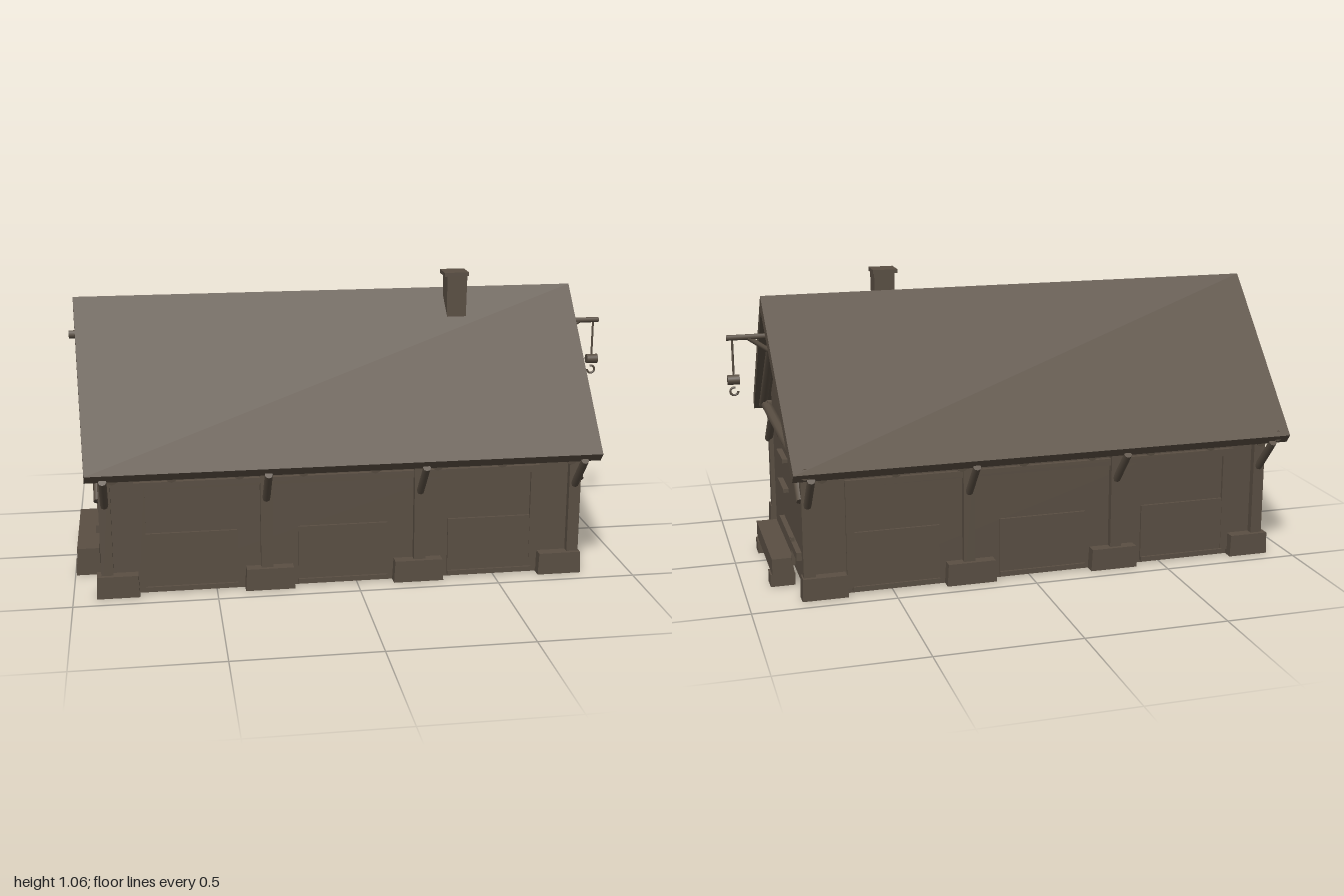
import * as THREE from 'three';

export function createModel() {
  const model = new THREE.Group();
  model.name = 'barn';
  const wood = new THREE.MeshStandardMaterial({ color: 0x5a4f43, side: THREE.DoubleSide });
  wood.name = 'dark weathered wood';

  const add = (name, geometry, parent = model) => {
    const mesh = new THREE.Mesh(geometry, wood);
    mesh.name = name;
    parent.add(mesh);
    return mesh;
  };
  // Box given by its lower and upper limits
  const box = (name, x0, x1, y0, y1, z0, z1) => {
    const mesh = add(name, new THREE.BoxGeometry(x1 - x0, y1 - y0, Math.abs(z1 - z0)));
    mesh.position.set((x0 + x1) / 2, (y0 + y1) / 2, (z0 + z1) / 2);
    return mesh;
  };
  // Round or square timber between two points
  const beam = (name, a, b, r, sides = 8) => {
    const p = new THREE.Vector3(...a), q = new THREE.Vector3(...b);
    const dir = q.clone().sub(p);
    const mesh = add(name, new THREE.CylinderGeometry(r, r, dir.length(), sides));
    mesh.position.copy(p).add(q).multiplyScalar(0.5);
    mesh.quaternion.setFromUnitVectors(new THREE.Vector3(0, 1, 0), dir.normalize());
    return mesh;
  };
  // Outline in the z-y plane, extruded along x
  const profile = (points, x0, x1) => {
    const shape = new THREE.Shape(points.map(([z, y]) => new THREE.Vector2(-z, y)));
    const g = new THREE.ExtrudeGeometry(shape, { depth: x1 - x0, bevelEnabled: false });
    return g.rotateY(Math.PI / 2).translate(x0, 0, 0);
  };

  // Roof: chevron section, ends raked so that the ridge is longer than the eaves
  const roof = profile([[0, 0.985], [0.545, 0.48], [0.517, 0.449], [0, 0.928], [-0.517, 0.449], [-0.545, 0.48]], -0.97, 0.87);
  const pos = roof.attributes.position;
  for (let i = 0; i < pos.count; i++) {
    const t = Math.abs(pos.getZ(i)) / 0.545;
    pos.setX(i, pos.getX(i) + (pos.getX(i) < 0 ? 0.03 : -0.02) * t);
  }
  roof.computeVertexNormals();
  add('roof', roof);

  // Walls, open underneath
  const gable = [[0.41, 0], [0.41, 0.535], [0, 0.915], [-0.41, 0.535], [-0.41, 0]];
  add('rightGableWall', profile(gable, -0.885, -0.875));
  add('leftGableWall', profile(gable, 0.785, 0.795));
  for (const s of [1, -1]) box('longWall', -0.88, 0.79, 0, 0.53, s * 0.395, s * 0.405);

  // Long sides: posts, stone footings, braces, rafter ends and shutters
  const posts = [-0.88, -0.322, 0.225, 0.79];
  const footings = [[-0.92, -0.77], [-0.4, -0.225], [0.13, 0.31], [0.66, 0.82]];
  for (const s of [1, -1]) {
    posts.forEach((x, i) => {
      box('post', x - 0.021, x + 0.021, 0, 0.5, s * 0.392, s * 0.43);
      const [a, b] = footings[i];
      const foot = box('footing', a, b, 0, 0.08, s * 0.39, s * 0.445);
      const p = foot.geometry.attributes.position;
      for (let k = 0; k < p.count; k++) if (p.getY(k) > 0) p.setX(k, p.getX(k) * 0.95);
      beam('eaveBrace', [x, 0.335, s * 0.425], [x, 0.455, s * 0.53], 0.014);
    });
    for (const x of [-0.85, -0.65, -0.42, -0.2, 0.05, 0.27, 0.5, 0.75])
      beam('rafterEnd', [x, 0.47, s * 0.38], [x, 0.452, s * 0.505], 0.019);
    beam('wallPlate', [-0.9, 0.48, s * 0.42], [0.81, 0.48, s * 0.42], 0.022);
    box('rail', -0.78, 0.66, 0.385, 0.41, s * 0.4, s * 0.42);
    for (const x of [-0.757, 0.645]) box('shutterPost', x - 0.014, x + 0.014, 0.02, 0.4, s * 0.4, s * 0.416);
    for (const [x0, x1] of [[-0.75, -0.425], [-0.21, 0.11], [0.33, 0.64]]) {
      box('shutter', x0, x1, 0.02, 0.22, s * 0.405, s * 0.414);
      box('shutterSill', x0, x1, 0.01, 0.025, s * 0.4, s * 0.422);
    }
  }

  // Gable ends: tie beam, struts and benches
  for (const [x, s] of [[-0.9, -1], [0.81, 1]]) {
    beam('tieBeam', [x, 0.477, -0.53], [x, 0.477, 0.45], 0.02);
    for (const m of [1, -1]) {
      beam('tieBrace', [x, 0.35, m * 0.415], [x, 0.465, m * 0.29], 0.016);
      beam('gableRafter', [x + s * 0.01, 0.47, m * 0.48], [x + s * 0.01, 0.905, m * 0.01], 0.016);
    }
    beam('collarBeam', [x, 0.845, -0.09], [x, 0.845, 0.09], 0.014);
    const w = s * (s > 0 ? 0.825 : 0.91), out = s * (s > 0 ? 0.9 : 0.99);
    const lo = Math.min(w, out), hi = Math.max(w, out);
    const shift = s > 0 ? 0 : 0.07;
    box('benchSeat', lo, hi, 0.045, 0.105, -0.285 + shift, 0.15 + shift);
    for (const z of [-0.245, 0.11]) box('benchFoot', lo - 0.006, hi + 0.006, 0, 0.045, z - 0.03 + shift, z + 0.03 + shift);
    box('benchUpright', w - 0.006, w + 0.006, 0.08, 0.18, -0.29 + shift, -0.28 + shift);
    box('benchBack', w - 0.012, w + 0.006, 0.137, 0.166, -0.41 + shift * 2, 0.01 + shift * 2);
  }

  // Loft hatch and ladder rungs
  box('loftHatch', 0.79, 0.804, 0.51, 0.75, -0.138, 0.144);
  for (const y of [0.26, 0.373]) box('rung', 0.79, 0.815, y - 0.007, y + 0.007, 0, 0.15);

  // Ridge beam stub at the far end
  beam('beamStub', [-0.87, 0.848, 0], [-0.99, 0.848, 0], 0.015);

  // Hoist: arm, brace, rope, pulley block and hook
  beam('hoistArm', [0.78, 0.842, -0.005], [0.995, 0.842, -0.005], 0.01);
  beam('hoistBrace', [0.79, 0.75, -0.005], [0.92, 0.84, -0.005], 0.009);
  beam('hoistRope', [0.975, 0.84, -0.005], [0.975, 0.7, -0.005], 0.004);
  beam('pulleyBlock', [0.955, 0.69, -0.005], [0.997, 0.69, -0.005], 0.018, 12);
  const hook = add('hook', new THREE.TorusGeometry(0.014, 0.004, 6, 14, Math.PI * 1.6));
  hook.position.set(0.975, 0.648, -0.005);
  hook.rotation.z = -Math.PI;

  // Chimney, a little wider at the top, with cap
  const stack = box('chimney', 0.38, 0.455, 0.86, 1.042, 0.025, 0.1);
  const sp = stack.geometry.attributes.position;
  for (let i = 0; i < sp.count; i++) if (sp.getY(i) < 0) sp.setX(i, sp.getX(i) * 0.92);
  box('chimneyCap', 0.37, 0.46, 1.042, 1.056, 0.018, 0.106);

  return model;
}
